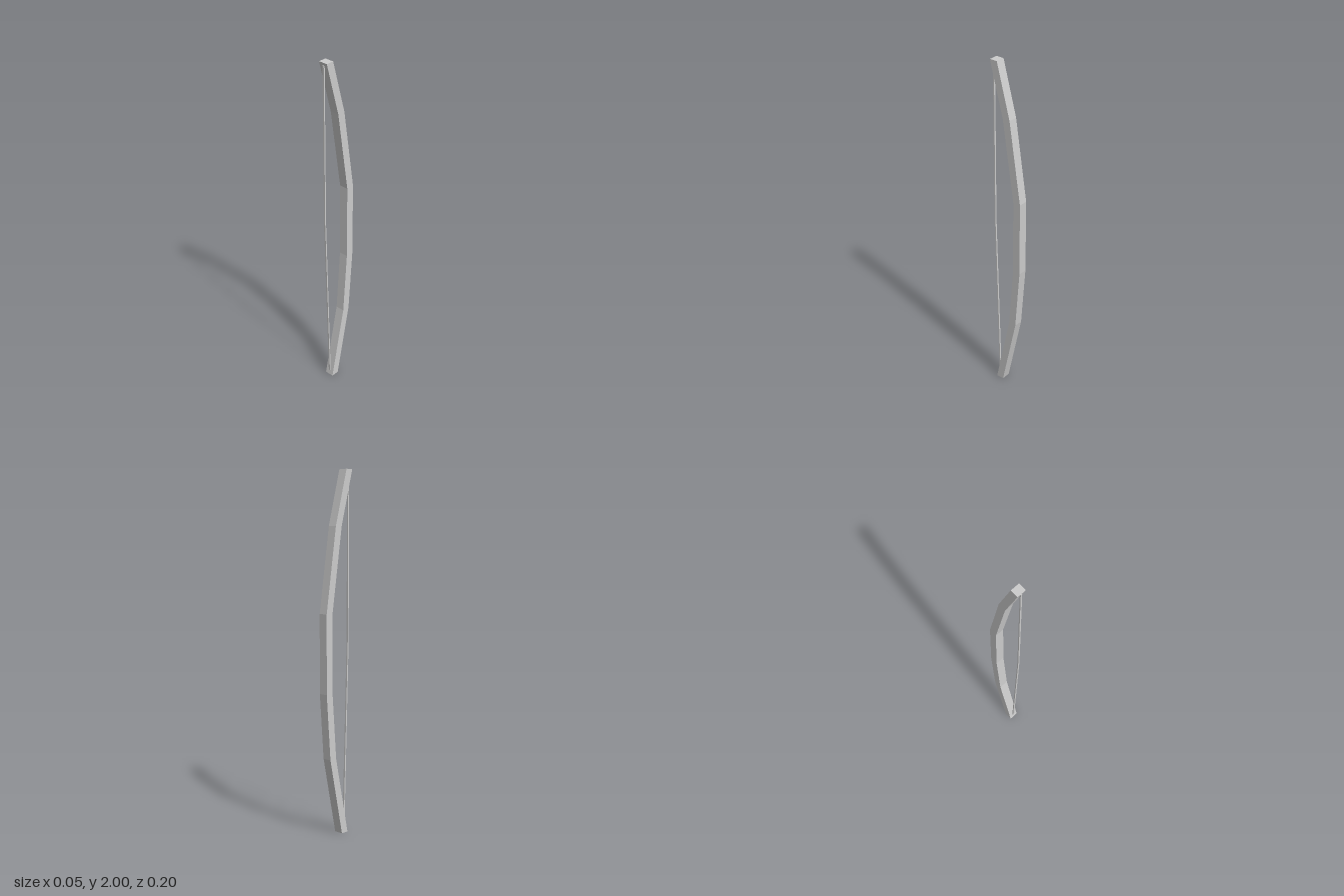
import * as THREE from 'three';

const material = new THREE.MeshStandardMaterial({ color: 0xcccccc, flatShading: true });

// Extrude a side outline, given as [z, y] points, to a width centred on x = 0
function sidePrism(name, outline, width) {
  const shape = new THREE.Shape(outline.map(([z, y]) => new THREE.Vector2(z, y)));
  const geometry = new THREE.ExtrudeGeometry(shape, { depth: width, bevelEnabled: false });
  geometry.translate(0, 0, -width / 2).rotateY(-Math.PI / 2);
  const mesh = new THREE.Mesh(geometry, material);
  mesh.name = name;
  return mesh;
}

// Outline of a band of constant depth whose front edge follows the path
function band(front, depth) {
  return [...front, ...front.map(([z, y]) => [z - depth, y]).reverse()];
}

export function createModel() {
  const group = new THREE.Group();
  group.name = 'bow';

  // Stave: square-section limbs bent in straight facets around the grip
  const stave = [
    [0.065, 0], [-0.027, 0.435], [-0.055, 0.8],
    [-0.055, 1.235], [0.016, 1.7], [0.098, 2],
  ];
  group.add(sidePrism('stave', band(stave, 0.045), 0.052));

  // Bowstring: thin cord with a slight bend at the middle
  const cord = [[0.064, 0.03], [0.095, 1.07], [0.097, 1.985]];
  group.add(sidePrism('bowstring', band(cord, 0.007), 0.009));

  return group;
}
